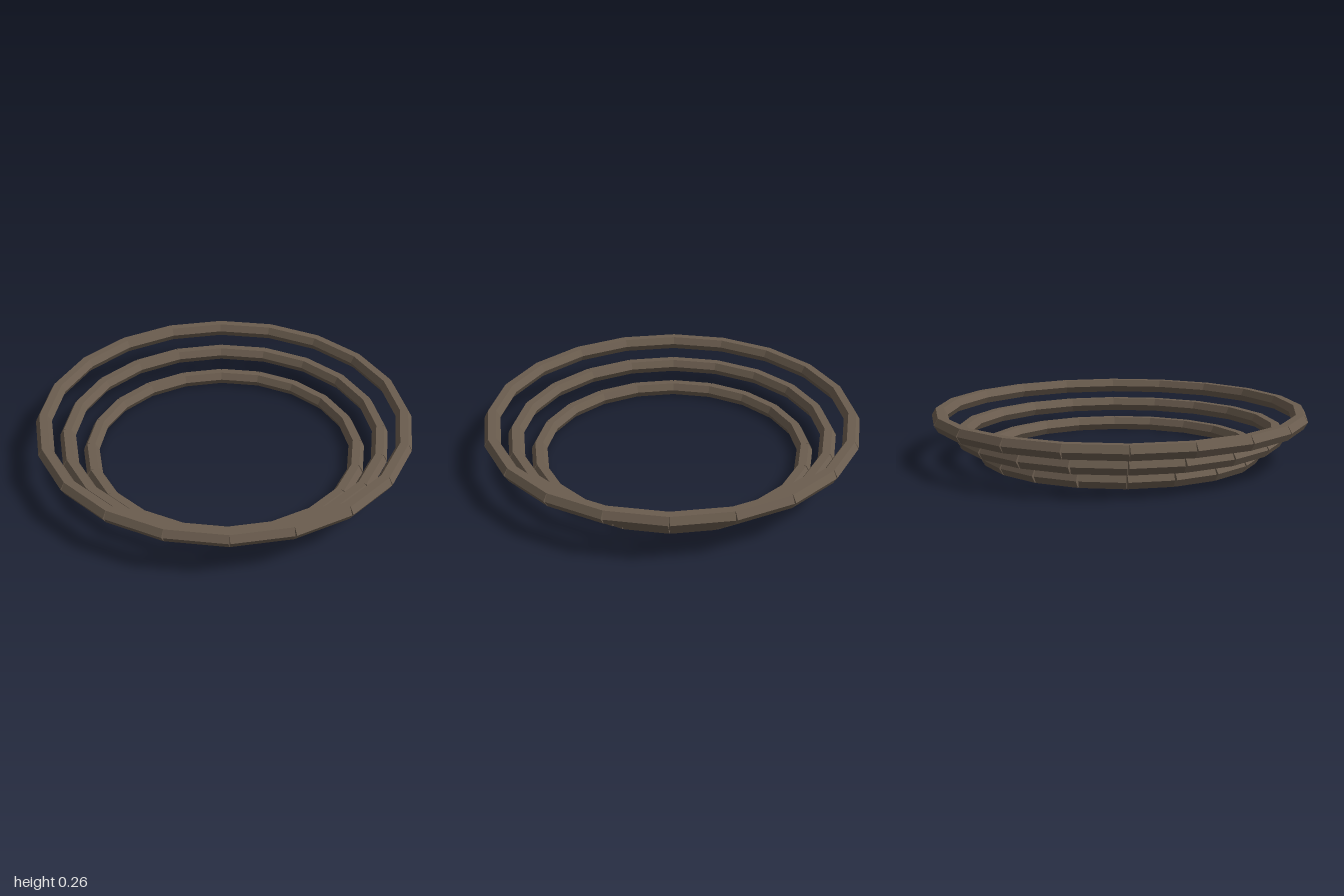
import * as THREE from 'three';

const SIDES = 20;      // straight bars per ring
const BAR_RADIUS = 0.042;

export function createModel() {
  const model = new THREE.Group();
  model.name = 'steppedRings';
  const material = new THREE.MeshStandardMaterial({ color: 0x6b5d4f, flatShading: true });
  const half = Math.PI / SIDES;

  // One ring of square-cut hexagonal bars, with an edge pointing outward
  function addRing(name, radius, y, overlap) {
    const ring = new THREE.Group();
    ring.name = name;
    ring.position.y = y;
    const length = 2 * radius * Math.sin(half) + overlap;
    const geometry = new THREE.CylinderGeometry(BAR_RADIUS, BAR_RADIUS, length, 6);
    geometry.rotateZ(Math.PI / 2);
    geometry.translate(0, 0, radius * Math.cos(half));
    for (let i = 0; i < SIDES; i++) {
      const bar = new THREE.Mesh(geometry, material);
      bar.name = name + 'Bar';
      bar.rotation.y = (2 * i + 1) * half;
      ring.add(bar);
    }
    model.add(ring);
  }

  // Rings widen from bottom to top
  const base = BAR_RADIUS * Math.sin(Math.PI / 3);
  addRing('lowerRing', 0.719, base, 0.001);
  addRing('middleRing', 0.839, base + 0.096, 0.002);
  addRing('upperRing', 0.9585, base + 0.192, 0.005);
  return model;
}
